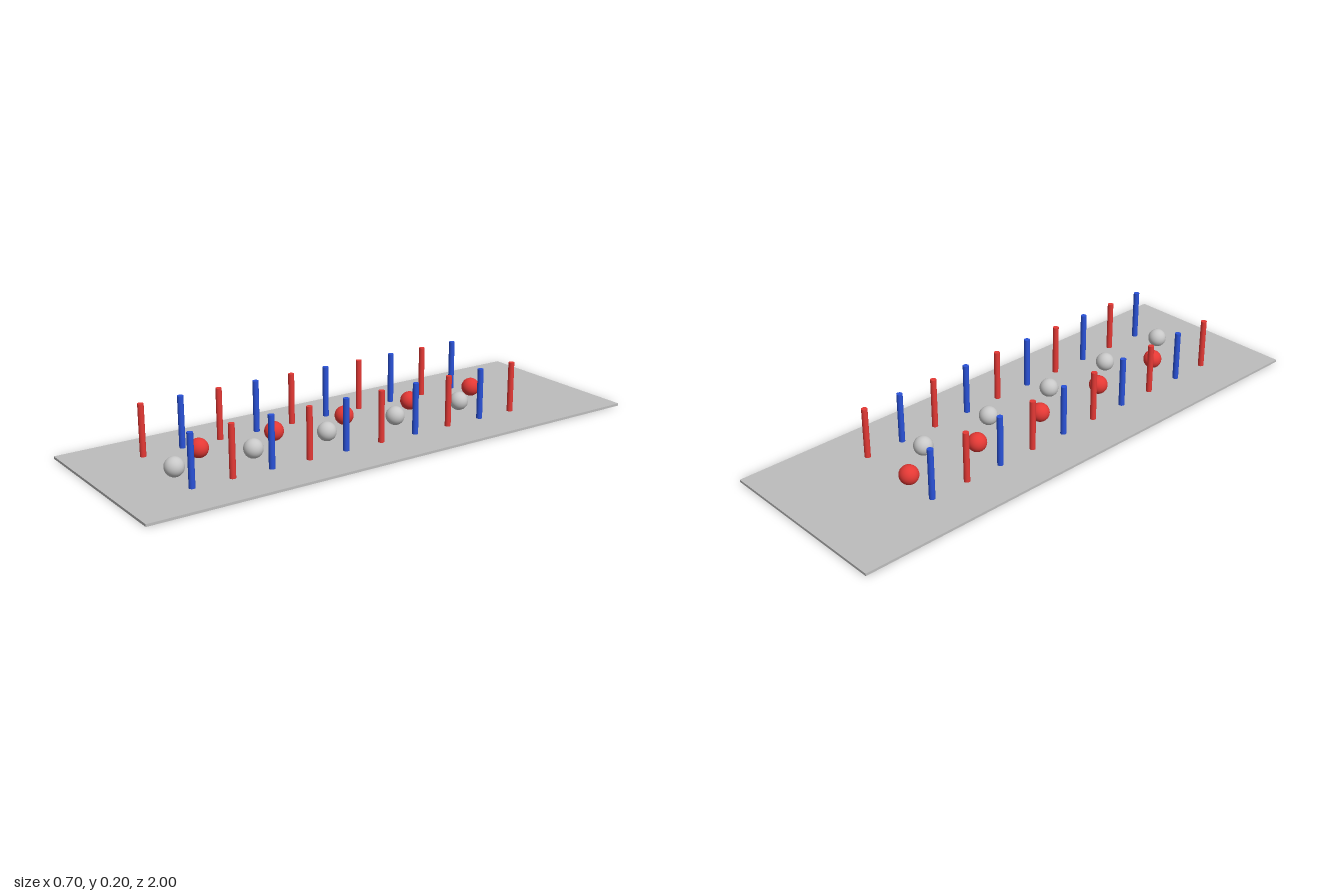
import * as THREE from 'three';

const mat = (name, color) => new THREE.MeshStandardMaterial({ name, color });

export function createModel() {
  const model = new THREE.Group();
  model.name = 'slalomCourse';

  const red = mat('red', 0xe53935);
  const blue = mat('blue', 0x2a52d8);
  const silver = mat('silver', 0xc8c8c8);
  const grey = mat('grey', 0xbdbdbd);

  const baseTop = 0.009, postHeight = 0.19, ballRadius = 0.035;
  const postGeo = new THREE.CylinderGeometry(0.011, 0.011, postHeight, 24);
  const ballGeo = new THREE.SphereGeometry(ballRadius, 32, 20);

  const add = (name, geo, material, x, y, z) => {
    const mesh = new THREE.Mesh(geo, material);
    mesh.name = name;
    mesh.position.set(x, y, z);
    model.add(mesh);
  };

  // Flat rectangular base
  add('base', new THREE.BoxGeometry(0.7, baseTop, 2), grey, 0, baseTop / 2, 0);

  // Ten rows: a pair of posts in swapping colours and one ball on alternate sides
  for (let i = 0; i < 10; i++) {
    const z = 0.75 - i * 0.15;
    const even = i % 2 === 0;
    const postY = baseTop + postHeight / 2;
    add('rightPost', postGeo, even ? red : blue, -0.175, postY, z);
    add('leftPost', postGeo, even ? blue : red, 0.175, postY, z);
    add('ball', ballGeo, even ? silver : red, even ? 0.055 : -0.055, baseTop + ballRadius, z);
  }
  return model;
}
